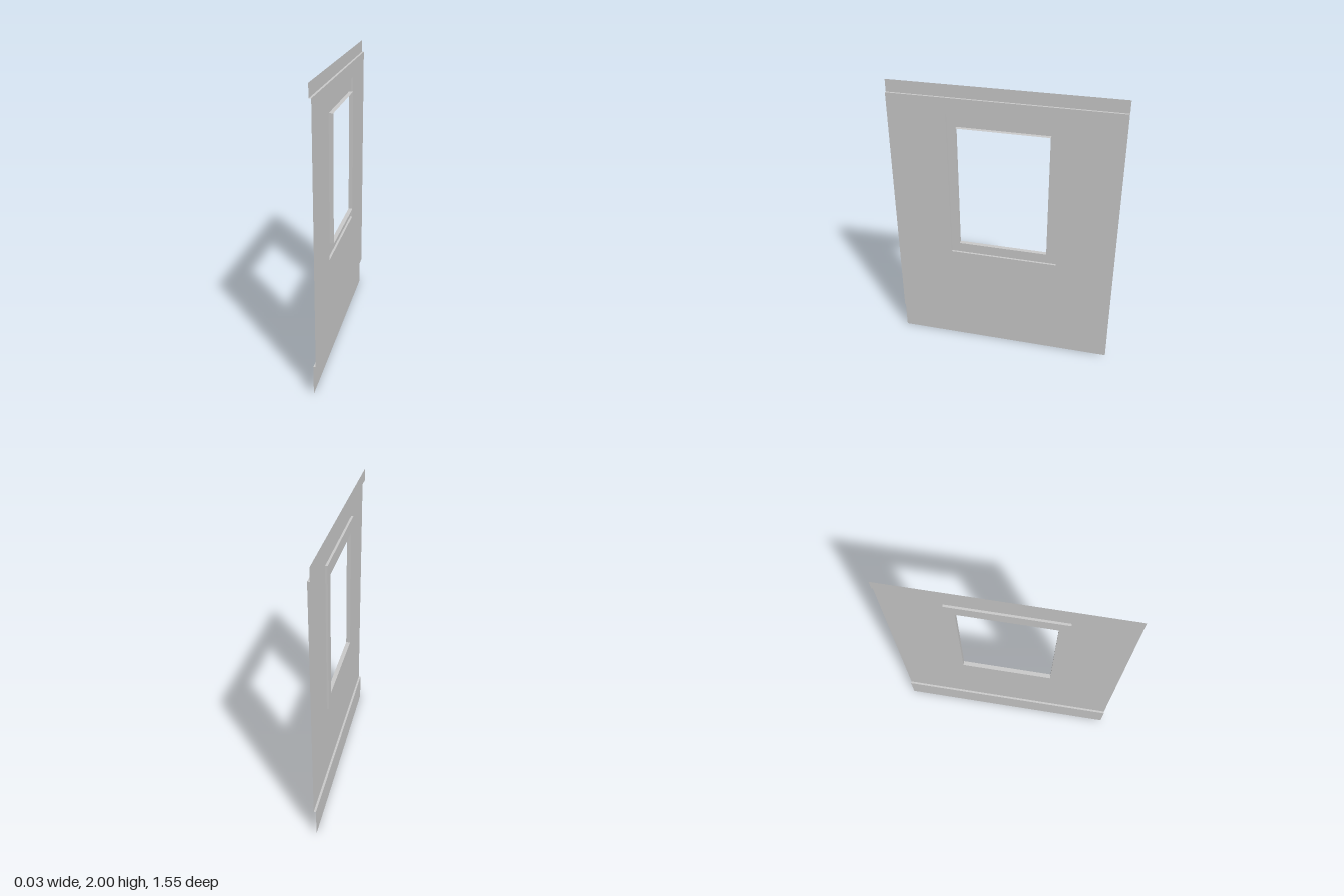
import * as THREE from 'three';
import { mergeGeometries } from 'three/addons/utils/BufferGeometryUtils.js';

const material = new THREE.MeshStandardMaterial({
  color: 0xcccccc, side: THREE.DoubleSide, flatShading: true,
});

// Depths of the sheet layers along x
const FACE = 0, RECESS = -0.015, LIP = 0.014;
const HALF = 0.776;

// Heights of the bands, and the two window rectangles
const SKIRT = 0.205, CORNICE = 1.916, TOP = 2;
const trim = { half: 0.376, bottom: 0.758, top: 1.81 };
const opening = { half: 0.31, bottom: 0.847, top: 1.72 };

const corners = ({ half, bottom, top }) => [
  new THREE.Vector2(-half, bottom), new THREE.Vector2(half, bottom),
  new THREE.Vector2(half, top), new THREE.Vector2(-half, top),
];

// Flat upright sheet facing +x, with an optional rectangular hole
function sheet(rect, x, hole) {
  const shape = new THREE.Shape(corners(rect));
  if (hole) shape.holes.push(new THREE.Path(corners(hole)));
  return new THREE.ShapeGeometry(shape).rotateY(Math.PI / 2).translate(x, 0, 0);
}

// Horizontal strip joining two depths
function ledge(y, x0, x1, half, up = true) {
  return new THREE.PlaneGeometry(x1 - x0, half * 2)
    .rotateX(up ? -Math.PI / 2 : Math.PI / 2)
    .translate((x0 + x1) / 2, y, 0);
}

// Four inward-facing walls around a rectangle, open at both ends
function reveal({ half, bottom, top }, x0, x1) {
  const sides = [-1, 1].map((s) =>
    new THREE.PlaneGeometry(x1 - x0, top - bottom)
      .rotateY(s < 0 ? 0 : Math.PI)
      .translate((x0 + x1) / 2, (bottom + top) / 2, s * half));
  return mergeGeometries([
    ...sides, ledge(bottom, x0, x1, half), ledge(top, x0, x1, half, false),
  ]);
}

export function createModel() {
  const group = new THREE.Group();
  group.name = 'windowWallPanel';
  const add = (name, geometry) => {
    const mesh = new THREE.Mesh(geometry, material);
    mesh.name = name;
    group.add(mesh);
  };

  // Main wall and the set-back bands above and below it
  add('wall', sheet({ half: HALF, bottom: SKIRT, top: CORNICE }, FACE, trim));
  add('skirting', sheet({ half: HALF, bottom: 0, top: SKIRT }, RECESS));
  add('cornice', sheet({ half: HALF, bottom: CORNICE, top: TOP }, RECESS));
  add('skirtingLedge', ledge(SKIRT, RECESS, FACE, HALF, false));
  add('corniceLedge', ledge(CORNICE, RECESS, FACE, HALF));

  // Stepped window surround and the lip lining the opening
  add('windowTrim', sheet(trim, RECESS, opening));
  add('trimEdge', reveal(trim, RECESS, FACE));
  add('windowLining', reveal(opening, RECESS, LIP));

  return group;
}
